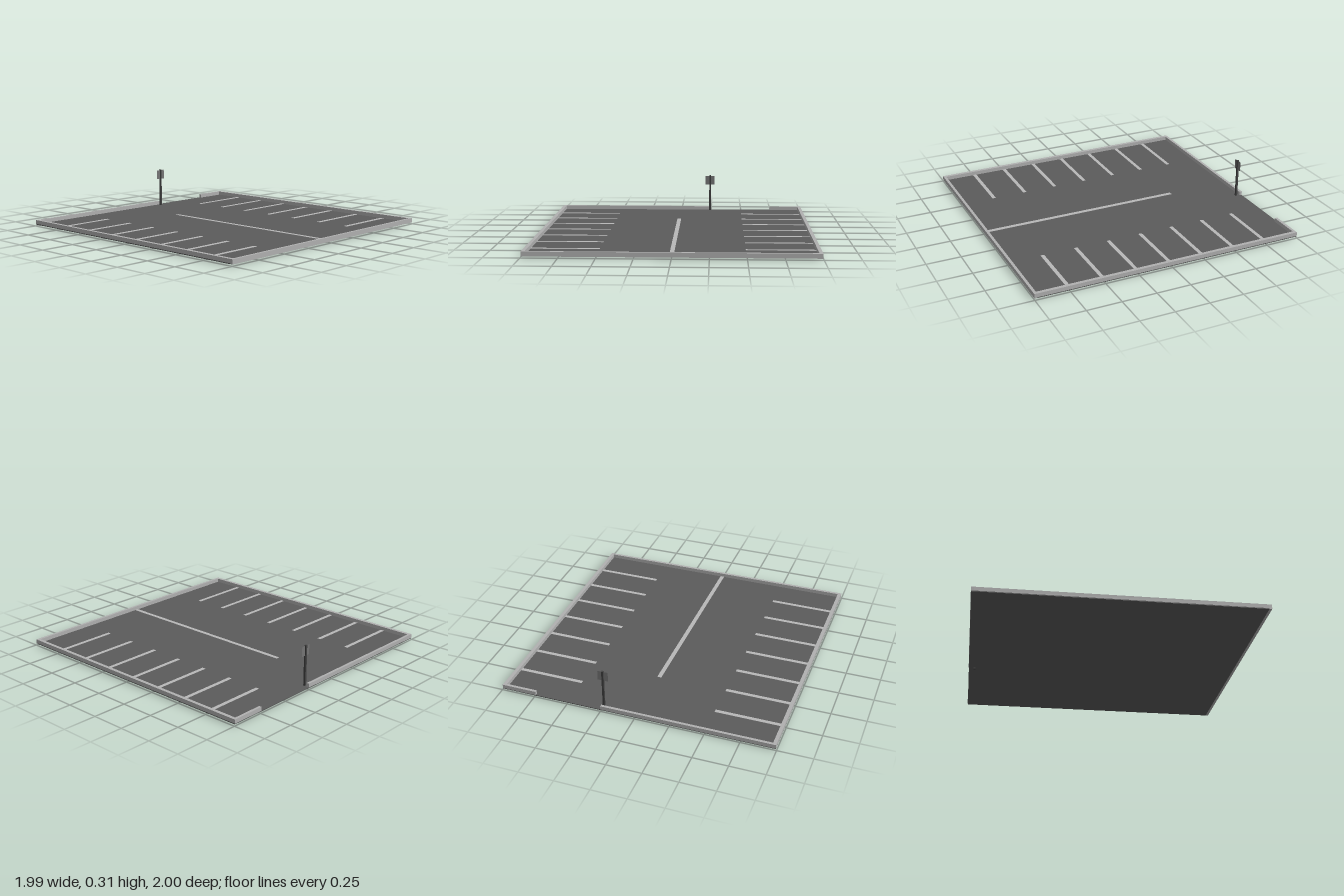
import * as THREE from 'three';

export function createModel() {
  const model = new THREE.Group();
  const mat = (name, color, extra = {}) => {
    const m = new THREE.MeshStandardMaterial({ color, ...extra });
    m.name = name;
    return m;
  };
  const asphalt = mat('asphalt', 0x5b5b5b);
  const concrete = mat('concrete', 0xb0b0b0);
  const paint = mat('linePaint', 0xb8b8b8);
  const postMetal = mat('postMetal', 0x404040);
  const signMetal = mat('signMetal', 0x757575, { side: THREE.DoubleSide });

  // Box given by its lower and upper limits on each axis
  const box = (name, material, [x0, x1], [y0, y1], [z0, z1]) => {
    const mesh = new THREE.Mesh(new THREE.BoxGeometry(x1 - x0, y1 - y0, z1 - z0), material);
    mesh.position.set((x0 + x1) / 2, (y0 + y1) / 2, (z0 + z1) / 2);
    mesh.name = name;
    model.add(mesh);
    return mesh;
  };

  // Ground slab
  box('ground', asphalt, [-0.994, 0.994], [0.01, 0.016], [-0.998, 0.981]);

  // Curbs around the edge, with an entrance gap at the back
  const curbY = [0.016, 0.044];
  box('leftCurb', concrete, [0.97, 0.995], curbY, [-0.98, 0.98]);
  box('rightCurb', concrete, [-0.995, -0.97], curbY, [-0.98, 0.98]);
  box('frontCurb', concrete, [-0.995, 0.995], [0.011, 0.044], [0.98, 1]);
  box('backCurbLong', concrete, [-0.995, 0.25], curbY, [-1, -0.98]);
  box('backCurbShort', concrete, [0.74, 0.995], curbY, [-1, -0.98]);

  // Painted lane divider and parking bay lines
  const lineY = [0.0162, 0.018];
  box('centerLine', paint, [-0.016, 0.014], lineY, [-0.515, 0.98]);
  for (let i = -3; i <= 3; i++) {
    const z = [i * 0.25 - 0.016, i * 0.25 + 0.011];
    box('rightBayLine', paint, [-0.97, -0.498], lineY, z);
    box('leftBayLine', paint, [0.495, 0.97], lineY, z);
  }

  // Entrance sign: square post with a thin plate through it
  box('signPost', postMetal, [0.233, 0.247], [0, 0.31], [-0.962, -0.948]);
  const sign = new THREE.Mesh(new THREE.PlaneGeometry(0.076, 0.072), signMetal);
  sign.name = 'signPlate';
  sign.position.set(0.24, 0.27, -0.955);
  model.add(sign);

  return model;
}
